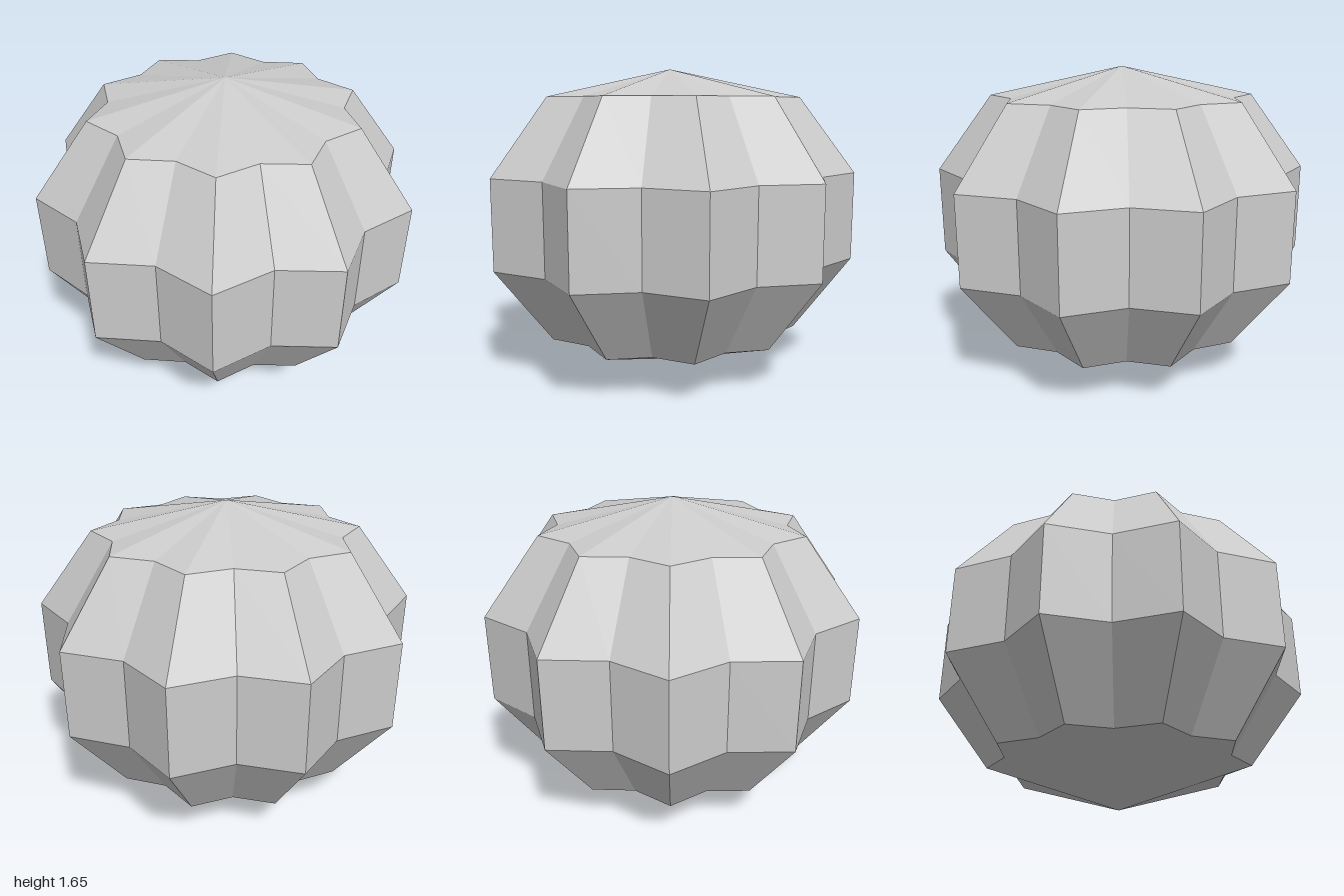
import * as THREE from 'three';

const RIDGES = 10;
const VALLEY = 0.86; // valley radius relative to ridge radius

export function createModel() {
  const group = new THREE.Group();
  group.name = 'flutedGourd';

  // Ridge profile from bottom tip to top tip
  const profile = [[0, 0], [0.7, 0.23], [1, 0.63], [1, 1.1], [0.7, 1.5], [0, 1.65]]
    .map(([r, y]) => new THREE.Vector2(r, y));
  const lathe = new THREE.LatheGeometry(profile, RIDGES * 2);

  // Pull every second meridian inwards to form the valleys
  const pos = lathe.attributes.position;
  for (let i = 0; i < pos.count; i++) {
    const meridian = Math.floor(i / profile.length);
    if (meridian % 2 === 0) {
      pos.setX(i, pos.getX(i) * VALLEY);
      pos.setZ(i, pos.getZ(i) * VALLEY);
    }
  }

  // Faceted body
  const geometry = lathe.toNonIndexed();
  geometry.computeVertexNormals();
  const material = new THREE.MeshStandardMaterial({ color: 0xcccccc, flatShading: true });
  const body = new THREE.Mesh(geometry, material);
  body.name = 'flutedBody';
  group.add(body);
  return group;
}
